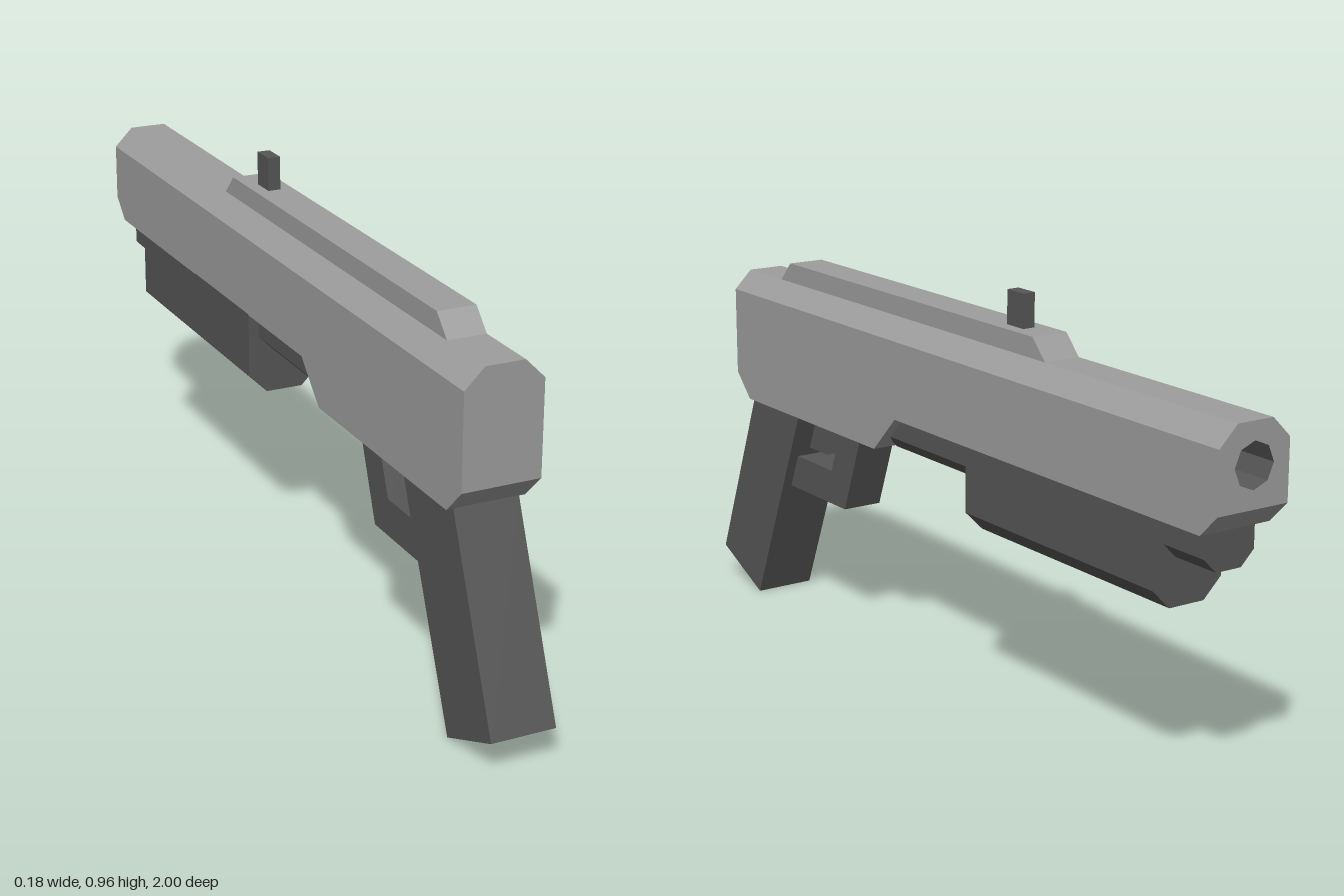
import * as THREE from 'three';

export function createModel() {
  const model = new THREE.Group();
  const lightGrey = new THREE.MeshStandardMaterial({ color: 0x9d9d9d, flatShading: true });
  lightGrey.name = 'light grey';
  const darkGrey = new THREE.MeshStandardMaterial({ color: 0x565656, flatShading: true });
  darkGrey.name = 'dark grey';

  const add = (name, geometry, material) => {
    const mesh = new THREE.Mesh(geometry, material);
    mesh.name = name;
    model.add(mesh);
    return mesh;
  };
  const shapeOf = (points) => new THREE.Shape(points.map(([x, y]) => new THREE.Vector2(x, y)));

  // Side outline in (z, y), given a width across x
  const sidePart = (name, outline, width, material) => {
    const g = new THREE.ExtrudeGeometry(shapeOf(outline), { depth: width, bevelEnabled: false });
    add(name, g.rotateY(-Math.PI / 2).translate(width / 2, 0, 0), material);
  };
  // Bar along z with its two lower edges chamfered
  const chamferedBar = (name, half, top, bottom, chamfer, zBack, zFront) => {
    const outline = [[-half, top], [-half, bottom + chamfer], [-half + chamfer, bottom],
      [half - chamfer, bottom], [half, bottom + chamfer], [half, top]];
    const g = new THREE.ExtrudeGeometry(shapeOf(outline), { depth: zFront - zBack, bevelEnabled: false });
    add(name, g.translate(0, 0, zBack), darkGrey);
  };

  // Body: chamfered cross-section whose underside steps along z
  const section = (bottom) => [[-0.09, bottom], [0.09, bottom], [0.09, 0.795],
    [0.045, 0.84], [-0.045, 0.84], [-0.09, 0.795]];
  const stations = [[-1, 0.66], [-0.95, 0.61], [0.14, 0.61], [0.23, 0.52], [0.82, 0.52], [0.88, 0.58]];
  const positions = [];
  for (let s = 0; s < stations.length - 1; s++) {
    const [z0, b0] = stations[s];
    const [z1, b1] = stations[s + 1];
    const p = section(b0), q = section(b1);
    for (let i = 0; i < 6; i++) {
      const j = (i + 1) % 6;
      const a = [...p[i], z0], b = [...p[j], z0], c = [...q[j], z1], d = [...q[i], z1];
      positions.push(...a, ...b, ...c, ...a, ...c, ...d);
    }
  }
  const bodyGeometry = new THREE.BufferGeometry();
  bodyGeometry.setAttribute('position', new THREE.Float32BufferAttribute(positions, 3));
  bodyGeometry.computeVertexNormals();
  add('body', bodyGeometry, lightGrey);
  add('bodyEnd', new THREE.ShapeGeometry(shapeOf(section(0.58))).translate(0, 0, 0.88), lightGrey);

  // Muzzle face with an octagonal bore
  const boreRadius = 0.05, boreY = 0.75, boreDepth = 0.2;
  const boreRing = Array.from({ length: 8 }, (_, i) => {
    const t = (i / 8) * Math.PI * 2;
    return new THREE.Vector2(boreRadius * Math.sin(t), boreY + boreRadius * Math.cos(t));
  });
  const muzzle = shapeOf(section(0.66));
  muzzle.holes.push(new THREE.Path(boreRing));
  add('muzzleFace', new THREE.ShapeGeometry(muzzle).rotateY(Math.PI).translate(0, 0, -1), lightGrey);
  const bore = new THREE.CylinderGeometry(boreRadius, boreRadius, boreDepth, 8, 1, true)
    .rotateX(Math.PI / 2).scale(-1, 1, 1).toNonIndexed();
  bore.computeVertexNormals();
  add('bore', bore.translate(0, boreY, -1 + boreDepth / 2), darkGrey);
  add('boreEnd', new THREE.ShapeGeometry(new THREE.Shape(boreRing)).rotateY(Math.PI)
    .translate(0, 0, -1 + boreDepth), darkGrey);

  // Top rail and sight
  sidePart('topRail', [[0.725, 0.84], [0.68, 0.887], [-0.335, 0.887], [-0.38, 0.84]], 0.09, lightGrey);
  sidePart('sight', [[-0.2, 0.88], [-0.2, 0.965], [-0.26, 0.965], [-0.26, 0.88]], 0.03, darkGrey);

  // Lower tube and sliding pump
  chamferedBar('lowerTube', 0.065, 0.615, 0.52, 0.033, -0.935, 0.22);
  chamferedBar('pump', 0.09, 0.612, 0.413, 0.045, -0.81, -0.15);

  // Grip, trigger and trigger guard
  sidePart('grip', [[0.82, 0.525], [1, 0.08], [0.82, 0], [0.6, 0.525]], 0.15, darkGrey);
  sidePart('trigger', [[0.56, 0.525], [0.56, 0.42], [0.67, 0.42], [0.64, 0.525]], 0.04, darkGrey);
  sidePart('triggerGuard', [[0.35, 0.525], [0.43, 0.315], [0.72, 0.315], [0.69, 0.4],
    [0.49, 0.4], [0.44, 0.525]], 0.1, darkGrey);

  return model;
}
